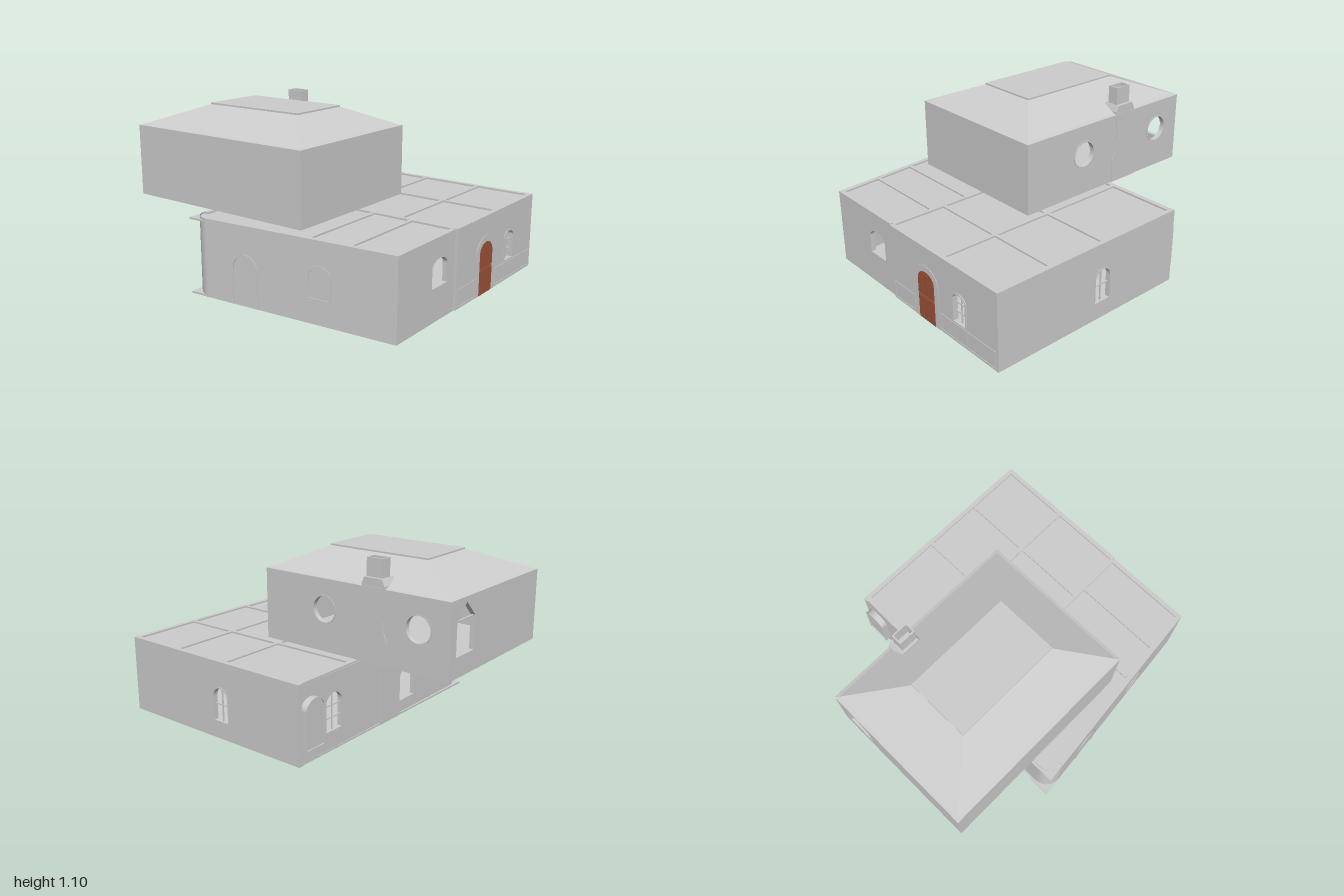
import * as THREE from 'three';

const plaster = new THREE.MeshStandardMaterial({ color: 0xcccccc, side: THREE.DoubleSide });
plaster.name = 'plaster grey';
const wood = new THREE.MeshStandardMaterial({ color: 0x9c5238 });
wood.name = 'door brown';

function add(parent, name, geometry, material = plaster) {
  const mesh = new THREE.Mesh(geometry, material);
  mesh.name = name;
  parent.add(mesh);
  return mesh;
}

// Box given by its limits
function box(parent, name, x0, x1, y0, y1, z0, z1, material) {
  const mesh = add(parent, name, new THREE.BoxGeometry(x1 - x0, y1 - y0, z1 - z0), material);
  mesh.position.set((x0 + x1) / 2, (y0 + y1) / 2, (z0 + z1) / 2);
  return mesh;
}

// Opening with an elliptical arched head
function arch(x0, x1, y0, y1, rise, Type = THREE.Path) {
  const p = new Type();
  p.moveTo(x0, y0);
  p.lineTo(x1, y0);
  p.lineTo(x1, y1 - rise);
  p.absellipse((x0 + x1) / 2, y1 - rise, (x1 - x0) / 2, rise, 0, Math.PI, false, 0);
  p.lineTo(x0, y0);
  return p;
}

function circle(x, y, r, Type = THREE.Path) {
  return new Type().absarc(x, y, r, 0, Math.PI * 2, false);
}

function polygon(points) {
  return new THREE.Shape(points.map(([x, y]) => new THREE.Vector2(x, y)));
}

// Extrusion whose face lies at z = front
function plate(shape, depth, front = 0) {
  return new THREE.ExtrudeGeometry(shape, { depth, bevelEnabled: false, curveSegments: 16 })
    .translate(0, 0, front - depth);
}

// Wall running left to right as seen from outside; local z faces outward
function wall(parent, name, [ax, az], [bx, bz], y0, y1, holes = []) {
  const g = new THREE.Group();
  g.name = name;
  g.position.set(ax, 0, az);
  g.rotation.y = Math.atan2(az - bz, bx - ax);
  const len = Math.hypot(bx - ax, bz - az);
  const shape = polygon([[0, y0], [len, y0], [len, y1], [0, y1]]);
  shape.holes.push(...holes);
  add(g, name + 'Panel', plate(shape, 0.03));
  parent.add(g);
  return g;
}

// Raised surround following an arched opening
function surround(parent, x0, x1, y0, y1, rise, w, raised = 0.005) {
  const s = arch(x0 - w, x1 + w, y0, y1 + w, rise + w, THREE.Shape);
  s.holes.push(arch(x0, x1, y0 + 0.002, y1, rise));
  add(parent, 'archSurround', plate(s, raised, raised));
}

function glazingBars(parent, x0, x1, y0, y1, rows) {
  const c = (x0 + x1) / 2;
  box(parent, 'windowBar', c - 0.003, c + 0.003, y0, y1, -0.022, -0.014);
  for (let i = 1; i < rows; i++) {
    const y = y0 + ((y1 - y0) * i) / rows;
    box(parent, 'windowBar', x0, x1, y - 0.003, y + 0.003, -0.022, -0.014);
  }
}

// Plan shape laid flat, its top at the given height
function slab(parent, name, points, top, thick) {
  const geo = plate(polygon(points.map(([x, z]) => [x, -z])), thick).rotateX(-Math.PI / 2);
  add(parent, name, geo).position.y = top;
}

// Hipped roof built from rectangular rings [x0, x1, z0, z1, y]
function hippedRoof(rings) {
  const pos = [];
  const corners = ([x0, x1, z0, z1, y]) => [[x0, y, z1], [x1, y, z1], [x1, y, z0], [x0, y, z0]];
  const quad = (a, b, c, d) => pos.push(...a, ...b, ...c, ...a, ...c, ...d);
  for (let i = 0; i < rings.length - 1; i++) {
    const lo = corners(rings[i]), hi = corners(rings[i + 1]);
    for (let k = 0; k < 4; k++) quad(lo[k], lo[(k + 1) % 4], hi[(k + 1) % 4], hi[k]);
  }
  quad(...corners(rings[rings.length - 1]));
  const geo = new THREE.BufferGeometry();
  geo.setAttribute('position', new THREE.Float32BufferAttribute(pos, 3));
  geo.computeVertexNormals();
  return geo;
}

function lowerStorey() {
  const g = new THREE.Group();
  g.name = 'lowerStorey';
  const H = 0.485;
  const plan = [[-0.72, 0.975], [-0.13, 0.975], [-0.13, 0.983], [0.838, 0.983], [0.838, -0.385], [-0.85, -0.4]];
  slab(g, 'floor', plan, 0.012, 0.012);
  slab(g, 'flatRoof', plan, 0.474, 0.012);

  // Front: plain wall on one side, door wall a little proud on the other
  const left = wall(g, 'frontLeftWall', [-0.72, 0.975], [-0.142, 0.975], 0, H, [arch(0.34, 0.5, 0.2, 0.362, 0.05)]);
  left.children[0].name = 'frontLeftWallPanel';
  const f = wall(g, 'doorWall', [-0.13, 0.985], [0.84, 0.985], 0, H,
    [arch(0.27, 0.42, 0.001, 0.325, 0.06), arch(0.595, 0.7, 0.135, 0.318, 0.035)]);
  surround(f, 0.27, 0.42, 0.001, 0.325, 0.06, 0.04, 0.003);
  surround(f, 0.595, 0.7, 0.135, 0.318, 0.035, 0.01);
  glazingBars(f, 0.595, 0.7, 0.135, 0.315, 3);
  for (const [a, b] of [[0.01, 0.22], [0.47, 0.95]]) {
    for (const y of [0.005, 0.11]) box(f, 'wallRail', a, b, y, y + 0.012, 0, 0.003);
  }
  for (const x of [0.01, 0.21, 0.47, 0.6, 0.7, 0.94]) box(f, 'wallStile', x, x + 0.01, 0.005, 0.12, 0, 0.003);

  // Split door with planks
  const door = new THREE.Group();
  door.name = 'door';
  f.add(door);
  add(door, 'doorLowerLeaf', plate(polygon([[0.27, 0.002], [0.42, 0.002], [0.42, 0.163], [0.27, 0.163]]), 0.025, 0.004), wood);
  add(door, 'doorUpperLeaf', plate(arch(0.27, 0.42, 0.167, 0.325, 0.06, THREE.Shape), 0.025, 0.004), wood);
  for (let i = 0; i < 3; i++) {
    const x = 0.274 + i * 0.049;
    box(door, 'doorPlank', x, x + 0.045, 0.008, 0.158, 0.004, 0.008, wood);
    box(door, 'doorPlank', x, x + 0.045, 0.172, i === 1 ? 0.315 : 0.275, 0.004, 0.008, wood);
  }

  // Side wall
  const side = wall(g, 'leftSideWall', [0.84, 0.985], [0.84, -0.39], 0, H, [arch(0.71, 0.825, 0.11, 0.32, 0.06)]);
  surround(side, 0.71, 0.825, 0.11, 0.32, 0.06, 0.008, 0.003);
  glazingBars(side, 0.71, 0.825, 0.11, 0.315, 2);

  // Back wall with two windows, a passage panel and an arched niche box
  const back = wall(g, 'backWall', [0.84, -0.385], [-0.74, -0.385], 0, H,
    [arch(0.24, 0.38, 0.12, 0.35, 0.06), arch(0.97, 1.13, 0.09, 0.31, 0.07)]);
  glazingBars(back, 0.24, 0.38, 0.12, 0.345, 3);
  box(back, 'passagePanel', 0.75, 0.955, 0, H, 0, 0.01);
  const niche = arch(0.03, 0.175, 0.095, 0.385, 0.06, THREE.Shape);
  add(back, 'nicheBox', plate(niche, 0.035, 0.033));
  surround(back, 0.03, 0.175, 0.095, 0.385, 0.06, 0.006, 0.04);

  // Slanted wall and its rounded corner
  const slant = wall(g, 'slantedWall', [-0.84, -0.28], [-0.72, 0.975], 0, H);
  surround(slant, 0.2, 0.36, 0.001, 0.3, 0.08, 0.015, 0.004);
  surround(slant, 0.72, 0.85, 0.15, 0.33, 0.05, 0.012, 0.004);
  add(g, 'roundedCorner', new THREE.CylinderGeometry(0.105, 0.105, H, 12, 1, true, Math.PI, Math.PI / 2))
    .position.set(-0.735, H / 2, -0.28);

  // Roof battens
  for (const x of [-0.13, 0.36]) box(g, 'roofBatten', x - 0.012, x + 0.012, 0.47, H, -0.37, 0.96);
  for (const z of [0.2, 0.6]) box(g, 'roofBatten', -0.12, 0.82, 0.47, H - 0.001, z - 0.012, z + 0.012);
  for (const z of [0.42, 0.68]) box(g, 'roofBatten', -0.74, -0.13, 0.47, H - 0.001, z - 0.012, z + 0.012);
  return g;
}

function upperStorey() {
  const g = new THREE.Group();
  g.name = 'upperStorey';
  const x0 = -0.69, x1 = 0.318, z0 = -1, z1 = 0.318, y0 = 0.487, y1 = 0.925;
  box(g, 'upperFloor', x0, x1, y0, y0 + 0.012, z0, z1);
  wall(g, 'upperFrontWall', [x0, z1], [x1, z1], y0, y1);
  wall(g, 'upperSlantSideWall', [x0, z0], [x0, z1], y0, y1);

  // Back wall with a peaked window
  const peak = polygon([[0.07, 0.61], [0.26, 0.61], [0.26, 0.81], [0.165, 0.905], [0.07, 0.81]]);
  const back = wall(g, 'upperBackWall', [x1, z0], [x0, z0], y0, y1, [peak]);
  box(back, 'windowBar', 0.07, 0.26, 0.8, 0.81, -0.02, -0.01);

  // Side wall with two round windows and the chimney breast
  const rounds = [0.458, 1.118];
  const side = wall(g, 'upperWindowWall', [x1, z1], [x1, z0], y0, y1, rounds.map((u) => circle(u, 0.748, 0.08)));
  for (const u of rounds) {
    const ring = circle(u, 0.748, 0.088, THREE.Shape);
    ring.holes.push(circle(u, 0.748, 0.08));
    add(side, 'roundWindowFrame', plate(ring, 0.003, 0.003));
  }
  const breast = polygon([[0.705, y0], [0.915, y0], [0.912, 0.63], [0.89, 0.69], [0.878, 0.76],
    [0.878, 0.94], [0.735, 0.94], [0.735, 0.76], [0.728, 0.69], [0.708, 0.63]]);
  add(side, 'chimneyBreast', plate(breast, 0.008, 0.005));

  // Hipped roof with a raised flat top
  add(g, 'hippedRoof', hippedRoof([
    [x0, x1, z0, z1, y1],
    [x0, x1, z0, z1, 0.935],
    [x0 + 0.02, x1 - 0.02, z0 + 0.02, z1 - 0.02, 0.94],
    [-0.39, 0.02, -0.66, 0.05, 1.062],
    [-0.39, 0.02, -0.66, 0.05, 1.072],
  ]));
  return g;
}

function chimney() {
  const g = new THREE.Group();
  g.name = 'chimney';
  // Shouldered base emerging through the eave
  const base = polygon([[-0.575, 0.925], [-0.415, 0.925], [-0.415, 0.95], [-0.432, 0.99], [-0.552, 0.99], [-0.575, 0.95]]);
  add(g, 'chimneyBase', plate(base, 0.11).rotateY(-Math.PI / 2)).position.x = 0.32 - 0.11;
  // Hollow square stack
  const stack = polygon([[0.228, 0.435], [0.3, 0.435], [0.3, 0.545], [0.228, 0.545]]);
  stack.holes.push(polygon([[0.236, 0.443], [0.292, 0.443], [0.292, 0.537], [0.236, 0.537]]));
  add(g, 'chimneyStack', plate(stack, 0.12).rotateX(-Math.PI / 2)).position.y = 1.1;
  return g;
}

export function createModel() {
  const model = new THREE.Group();
  model.name = 'house';
  model.add(lowerStorey(), upperStorey(), chimney());
  return model;
}
